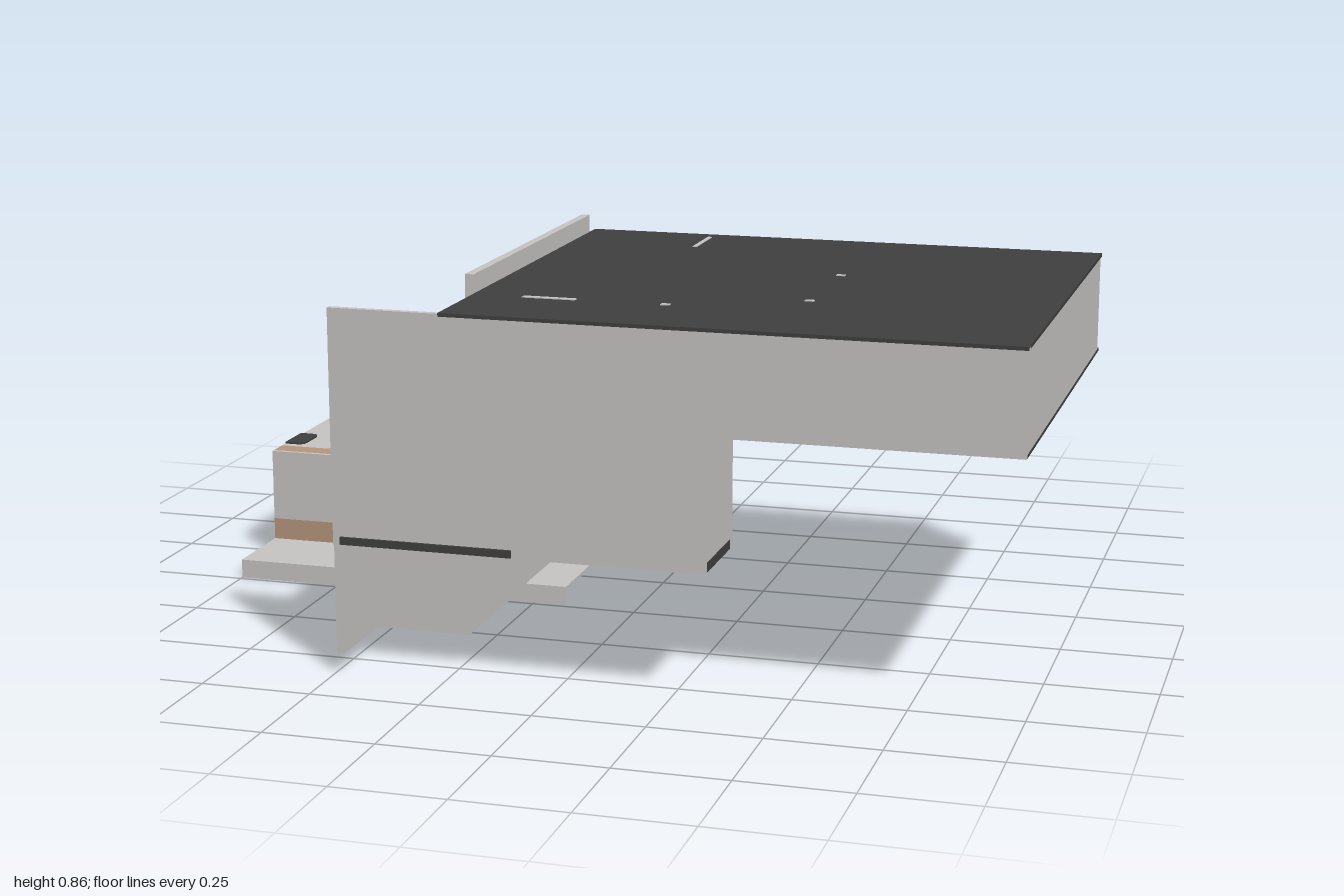
import * as THREE from 'three';

const material = (name, color) => {
  const m = new THREE.MeshStandardMaterial({ color, side: THREE.DoubleSide });
  m.name = name;
  return m;
};

export function createModel() {
  const house = new THREE.Group();
  house.name = 'house';
  const plaster = material('pale plaster', 0xc8c6c4);
  const dark = material('dark grey', 0x404040);
  const wood = material('brown wood', 0xb8987f);

  // Box given by its limits on each axis
  const box = (name, mat, x0, x1, y0, y1, z0, z1) => {
    const mesh = new THREE.Mesh(new THREE.BoxGeometry(x1 - x0, y1 - y0, z1 - z0), mat);
    mesh.position.set((x0 + x1) / 2, (y0 + y1) / 2, (z0 + z1) / 2);
    mesh.name = name;
    house.add(mesh);
    return mesh;
  };

  // Terrace floor with a front lip, and the entry floor
  box('terraceFloor', plaster, -1, -0.17, 0.038, 0.045, -0.86, 0.24);
  box('terraceLip', plaster, -1, -0.17, 0, 0.045, 0.235, 0.24);
  box('entryFloor', plaster, -0.495, -0.27, 0.038, 0.045, 0.24, 0.63);

  // Lower room: each wall has a brown skirting below and pale plaster above
  const roomWall = (name, x0, x1, z0, z1) => {
    box(name + 'Skirting', wood, x0, x1, 0.045, 0.097, z0, z1);
    box(name, plaster, x0, x1, 0.097, 0.262, z0, z1);
  };
  roomWall('leftRoomWall', -0.19, -0.17, -0.86, -0.02);
  roomWall('backRoomWallInner', -0.34, -0.19, -0.86, -0.842);
  roomWall('backRoomWallOuter', -0.57, -0.45, -0.86, -0.842);
  roomWall('rightRoomWallBack', -1, -0.98, -0.5, -0.36);
  roomWall('rightRoomWallFront', -1, -0.98, -0.24, 0.0);
  roomWall('frontRoomWall', -0.57, -0.17, -0.035, -0.015);
  roomWall('frontRoomBay', -1, -0.57, 0.0, 0.04);
  box('roomCeiling', plaster, -1, -0.17, 0.262, 0.27, -0.86, -0.02);
  box('bayCap', wood, -1, -0.575, 0.262, 0.27, -0.02, 0.03);
  box('bayCapEdge', plaster, -1, -0.575, 0.262, 0.27, 0.03, 0.04);
  box('backWallCap', wood, -0.57, -0.19, 0.27, 0.272, -0.86, -0.848);

  // Ceiling lamps: rounded squares, the outer column cut by the room edge
  const lamp = (x0, x1, z) => {
    const s = new THREE.Shape();
    const h = 0.05, c = 0.02, cut = x1 - x0 < 0.09;
    s.moveTo(x0 + (cut ? 0 : c), -h);
    s.lineTo(x1 - c, -h);
    s.quadraticCurveTo(x1, -h, x1, -h + c);
    s.lineTo(x1, h - c);
    s.quadraticCurveTo(x1, h, x1 - c, h);
    s.lineTo(x0 + (cut ? 0 : c), h);
    if (!cut) {
      s.quadraticCurveTo(x0, h, x0, h - c);
      s.lineTo(x0, -h + c);
      s.quadraticCurveTo(x0, -h, x0 + c, -h);
    }
    const geo = new THREE.ExtrudeGeometry(s, { depth: 0.016, bevelEnabled: false, curveSegments: 4 });
    geo.rotateX(-Math.PI / 2);
    const mesh = new THREE.Mesh(geo, dark);
    mesh.position.set(0, 0.258, z);
    mesh.name = 'ceilingLamp';
    house.add(mesh);
  };
  for (const z of [-0.71, -0.4, -0.09]) {
    lamp(-1, -0.95, z);
    lamp(-0.745, -0.645, z);
    lamp(-0.435, -0.335, z);
  }

  // Stair block, open at the back
  box('stairOuterWall', plaster, -0.497, -0.48, 0.045, 0.55, 0, 0.84);
  box('stairInnerWall', plaster, -0.285, -0.27, 0.045, 0.55, 0, 0.63);
  box('entryFront', plaster, -0.48, -0.27, 0.045, 0.3, 0.615, 0.632);
  box('outerWallWing', plaster, -0.497, -0.48, 0.045, 0.3, 0.84, 0.85);
  box('doorFrame', plaster, -0.5, -0.497, 0.06, 0.34, 0.6, 0.615);
  box('stairInterior', dark, -0.48, -0.285, 0.045, 0.5, 0.09, 0.1);
  box('landing', dark, -0.48, -0.245, 0.537, 0.546, 0.5, 0.84);
  box('stairHead', dark, -0.48, -0.285, 0.492, 0.5, -0.02, 0.07);
  const ramp = box('stairSlope', dark, -0.48, -0.285, 0.515, 0.523, 0.065, 0.505);
  ramp.rotation.x = -Math.atan2(0.045, 0.435);
  box('landingPanel', dark, -0.285, -0.275, 0.5, 0.74, 0.49, 0.84);

  // Stepped front wall
  const front = new THREE.Shape();
  front.moveTo(-0.497, 0.293);
  front.lineTo(0.337, 0.293);
  front.lineTo(0.337, 0.587);
  front.lineTo(1, 0.587);
  front.lineTo(1, 0.815);
  front.lineTo(-0.497, 0.815);
  front.closePath();
  const frontWall = new THREE.Mesh(
    new THREE.ExtrudeGeometry(front, { depth: 0.015, bevelEnabled: false }), plaster);
  frontWall.position.z = 0.84;
  frontWall.name = 'frontWall';
  house.add(frontWall);
  box('frontSlabEdge', dark, -0.48, -0.09, 0.295, 0.312, 0.65, 0.86);

  // Hanging bay under the upper floor
  box('bayBackWall', plaster, -0.27, 0.337, 0.293, 0.587, 0.632, 0.65);
  box('baySideWall', plaster, 0.32, 0.337, 0.315, 0.587, 0.65, 0.84);
  box('bayFloor', dark, -0.27, 0.337, 0.293, 0.315, 0.65, 0.84);

  // Upper floor, its walls and parapet
  box('upperFloorBack', dark, -0.245, 1, 0.585, 0.593, -0.24, 0.64);
  box('upperFloorFront', dark, 0.337, 1, 0.585, 0.593, 0.64, 0.84);
  box('upperLeftWall', plaster, 0.982, 1, 0.593, 0.81, -0.22, 0.84);
  box('upperBackWall', plaster, -0.245, 0.982, 0.593, 0.81, -0.222, -0.205);
  box('parapetWall', plaster, -0.265, -0.245, 0.587, 0.86, -0.2, 0.635);
  box('parapetWallEnd', plaster, -0.265, -0.245, 0.587, 0.815, -0.225, -0.2);

  // Flat roof with thin exposed wall tops
  box('roof', dark, -0.245, 1, 0.81, 0.818, -0.245, 0.86);
  const trims = [
    [0.055, 0.065, -0.2, -0.06], [-0.13, -0.01, 0.635, 0.65], [0.18, 0.2, 0.635, 0.65],
    [0.465, 0.485, 0.2, 0.213], [0.465, 0.485, 0.51, 0.523],
  ];
  for (const [x0, x1, z0, z1] of trims) box('roofTrim', plaster, x0, x1, 0.818, 0.82, z0, z1);

  return house;
}
